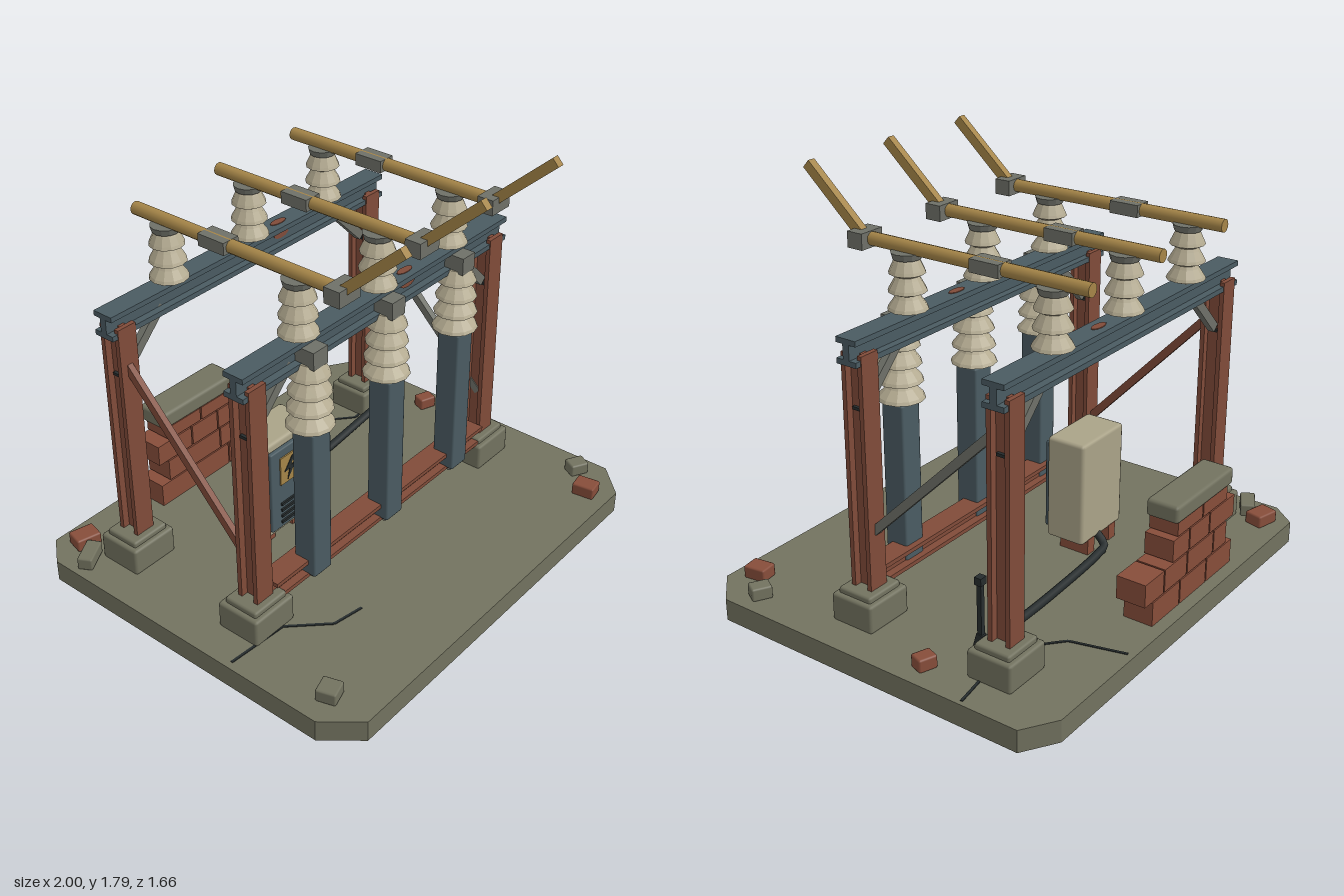
import * as THREE from 'three';
import { RoundedBoxGeometry } from 'three/addons/geometries/RoundedBoxGeometry.js';

const mat = (name, color) => {
  const m = new THREE.MeshStandardMaterial({ color });
  m.name = name;
  return m;
};

export function createModel() {
  const root = new THREE.Group();
  root.name = 'substationBay';
  const concrete = mat('concrete', 0x72725f), rust = mat('rustedSteel', 0x804b39);
  const teal = mat('paintedSteel', 0x4a5b62), porcelain = mat('porcelain', 0xb5ac92);
  const brass = mat('brass', 0xa58548), dark = mat('darkRubber', 0x262c2d);
  const brick = mat('brick', 0x874d3a), steel = mat('greySteel', 0x6e7068);
  const cream = mat('cabinetPaint', 0xaaa388);

  const add = (name, geo, m, x = 0, y = 0, z = 0, parent = root) => {
    const mesh = new THREE.Mesh(geo, m);
    mesh.name = name;
    mesh.position.set(x, y, z);
    parent.add(mesh);
    return mesh;
  };
  // Box given by its extents: [x0,x1], [y0,y1], [z0,z1], optionally with chamfered edges
  const box = (name, m, [x0, x1], [y0, y1], [z0, z1], bevel = 0, parent = root) => {
    const s = [x1 - x0, y1 - y0, z1 - z0];
    const geo = bevel ? new RoundedBoxGeometry(...s, 1, bevel) : new THREE.BoxGeometry(...s);
    return add(name, geo, m, (x0 + x1) / 2, (y0 + y1) / 2, (z0 + z1) / 2, parent);
  };
  // Square bar between two points
  const bar = (name, m, a, b, w, h) => {
    const p = new THREE.Vector3(...a), q = new THREE.Vector3(...b);
    const c = p.clone().add(q).multiplyScalar(0.5);
    const mesh = add(name, new THREE.BoxGeometry(w, h, p.distanceTo(q)), m, c.x, c.y, c.z);
    mesh.lookAt(q);
    return mesh;
  };
  const flat = (geo) => {
    const g = geo.index ? geo.toNonIndexed() : geo;
    g.computeVertexNormals();
    return g;
  };
  // Horizontal I-beam along x
  const beamX = (name, m, x0, x1, y0, y1, z, w, t) => {
    const g = new THREE.Group();
    g.name = name;
    root.add(g);
    box('topFlange', m, [x0, x1], [y1 - t, y1], [z - w / 2, z + w / 2], 0, g);
    box('bottomFlange', m, [x0, x1], [y0, y0 + t], [z - w / 2, z + w / 2], 0, g);
    box('web', m, [x0, x1], [y0 + t, y1 - t], [z - 0.015, z + 0.015], 0, g);
  };
  // Stack of skirted insulator sheds
  const insulator = (name, x, z, y0, y1, count, R, core) => {
    const pts = [new THREE.Vector2(0, 0)], p = (y1 - y0) / count;
    for (let i = 0; i < count; i++) {
      const r = R * (1 - 0.05 * i);
      pts.push(new THREE.Vector2(core, p * i), new THREE.Vector2(r, p * (i + 0.18)),
        new THREE.Vector2(r * 0.93, p * (i + 0.36)), new THREE.Vector2(core * 1.15, p * (i + 0.82)));
    }
    pts.push(new THREE.Vector2(core, y1 - y0), new THREE.Vector2(0, y1 - y0));
    add(name, flat(new THREE.LatheGeometry(pts, 12)), porcelain, x, y0, z);
  };

  // Ground slab with clipped corners
  const slab = new THREE.Shape([[-0.91, -0.83], [0.86, -0.83], [1, -0.74], [1, 0.7], [0.87, 0.83],
    [-0.88, 0.83], [-1, 0.68], [-1, -0.72]].map(([x, y]) => new THREE.Vector2(x, y)));
  const slabGeo = new THREE.ExtrudeGeometry(slab, { depth: 0.095, bevelEnabled: false });
  add('slab', slabGeo.rotateX(Math.PI / 2), concrete, 0, 0.095, 0);

  // Two portal frames
  const rows = [0.16, -0.5];
  for (const z of rows) {
    for (const s of [-1, 1]) {
      const x = s * 0.74;
      box('footing', concrete, [x - 0.11, x + 0.11], [0.09, 0.212], [z - 0.1, z + 0.1], 0.012);
      box('footingCap', concrete, [x - 0.09, x + 0.09], [0.205, 0.236], [z - 0.08, z + 0.08], 0.01);
      for (const e of [-1, 1]) {
        const c = z + e * 0.04;
        box('postFlange', rust, [x - 0.045, x + 0.045], [0.23, 1.208], [c - 0.01, c + 0.01]);
        box('postBolt', dark, [x + e * 0.02 - 0.008, x + e * 0.02 + 0.008], [0.98, 0.992], [z - 0.02, z + 0.02]);
      }
      box('postWeb', rust, [x - 0.015, x + 0.015], [0.23, 1.205], [z - 0.035, z + 0.035]);
      bar('kneeBrace', steel, [s * 0.71, 1.0, z], [s * 0.52, 1.19, z], 0.03, 0.04);
    }
    beamX('topBeam', teal, -0.81, 0.81, 1.17, 1.275, z, 0.094, 0.022);
    // Rust stains on the beam
    const top = add('rustStain', new THREE.CylinderGeometry(0.045, 0.045, 0.004, 10), rust, 0.17, 1.276, z);
    top.scale.z = 0.4;
    const side = add('rustStain', new THREE.CylinderGeometry(0.045, 0.045, 0.004, 10), rust, 0.17, 1.228, z + 0.016);
    side.rotation.x = Math.PI / 2;
    side.scale.z = 0.45;
  }
  beamX('lowerBeam', rust, -0.695, 0.68, 0.21, 0.292, 0.185, 0.1, 0.018);
  bar('rightDiagonal', steel, [0.735, 0.43, 0.17], [0.735, 1.095, -0.5], 0.03, 0.035);
  bar('leftDiagonal', rust, [-0.74, 0.4, 0.13], [-0.74, 1.07, -0.5], 0.026, 0.035);

  // Three identical phases
  for (const x of [-0.46, 0, 0.46]) {
    box('column', teal, [x - 0.052, x + 0.052], [0.22, 0.9], [0.162, 0.267], 0.008);
    add('columnPin', new THREE.CylinderGeometry(0.011, 0.011, 0.06, 8), steel, x, 0.205, 0.215);
    insulator('hangingInsulator', x, 0.21, 0.9, 1.19, 4, 0.097, 0.05);
    box('insulatorClamp', steel, [x - 0.04, x + 0.04], [1.18, 1.255], [0.175, 0.265]);
    for (const z of rows) {
      insulator('postInsulator', x, z, 1.275, 1.49, 3, 0.08, 0.045);
      add('insulatorCap', flat(new THREE.CylinderGeometry(0.062, 0.055, 0.026, 12)), steel, x, 1.499, z);
    }
    add('busBar', new THREE.CylinderGeometry(0.027, 0.027, 1.02, 12), brass, x, 1.53, -0.15).rotation.x = Math.PI / 2;
    box('busSleeve', steel, [x - 0.04, x + 0.04], [1.505, 1.556], [-0.29, -0.16]);
    box('hinge', steel, [x - 0.058, x + 0.058], [1.495, 1.56], [0.328, 0.4]);
    bar('switchBlade', brass, [x, 1.535, 0.37], [x, 1.772, 0.635], 0.033, 0.042);
  }

  // Control cabinet
  box('cabinet', cream, [-0.4, -0.1], [0.155, 0.615], [-0.27, -0.09], 0.015);
  box('cabinetDoor', teal, [-0.383, -0.117], [0.19, 0.582], [-0.092, -0.07], 0.006);
  for (const x of [-0.33, -0.17])
    box('cabinetFoot', brick, [x - 0.025, x + 0.025], [0.095, 0.165], [-0.27, -0.13]);
  box('doorHandle', steel, [-0.17, -0.152], [0.385, 0.447], [-0.072, -0.053]);
  for (let i = 0; i < 4; i++)
    box('louvre', dark, [-0.33, -0.17], [0.215 + i * 0.03, 0.227 + i * 0.03], [-0.071, -0.062]);
  box('warningPlate', brass, [-0.332, -0.22], [0.41, 0.542], [-0.071, -0.064]);
  const bolt = new THREE.Shape([[0.012, 0.052], [-0.034, -0.008], [-0.004, -0.004], [-0.016, -0.052],
    [0.034, 0.012], [0.004, 0.008], [0.026, 0.052]].map(([x, y]) => new THREE.Vector2(x, y)));
  add('warningBolt', new THREE.ExtrudeGeometry(bolt, { depth: 0.004, bevelEnabled: false }), dark, -0.276, 0.476, -0.065);

  // Cable from cabinet to an upright stub
  const path = new THREE.CatmullRomCurve3([[-0.23, 0.17, -0.25], [-0.225, 0.12, -0.3], [-0.15, 0.113, -0.315],
    [0.2, 0.113, -0.342], [0.5, 0.125, -0.362], [0.71, 0.14, -0.372]].map((p) => new THREE.Vector3(...p)));
  add('cable', new THREE.TubeGeometry(path, 40, 0.018, 8), dark);
  bar('cableStub', dark, [0.72, 0.12, -0.35], [0.72, 0.2, -0.372], 0.028, 0.028);
  bar('cableStub', dark, [0.72, 0.18, -0.37], [0.72, 0.42, -0.368], 0.02, 0.02);
  box('cableEnd', dark, [0.703, 0.737], [0.41, 0.442], [-0.384, -0.353]);

  // Broken brick wall with coping: course y range, then brick ends along x
  const courses = [
    [0.095, 0.2, [-0.46, -0.25, -0.04, 0.17]],
    [0.207, 0.306, [-0.41, -0.3, -0.09, 0.085, 0.23]],
    [0.313, 0.407, [-0.465, -0.26, -0.1, 0.03]],
    [0.414, 0.475, [-0.4, -0.2, 0.0]],
  ];
  for (const [y0, y1, ends] of courses)
    for (let i = 0; i + 1 < ends.length; i++)
      box('wallBrick', brick, [ends[i] + 0.004, ends[i + 1] - 0.004], [y0, y1], [-0.775, -0.645]);
  box('wallCoping', concrete, [-0.425, 0.02], [0.475, 0.55], [-0.785, -0.64], 0.015);

  // Loose rubble: material, x, z, width, depth, turn
  for (const [m, x, z, w, d, turn] of [
    [brick, -0.84, -0.72, 0.11, 0.085, -0.25], [concrete, -0.905, -0.62, 0.13, 0.065, 0.5],
    [brick, 0.893, -0.238, 0.08, 0.065, -0.35], [brick, 0.79, 0.72, 0.08, 0.1, 0.15],
    [concrete, 0.9, 0.605, 0.085, 0.07, -0.5], [concrete, -0.87, 0.64, 0.085, 0.085, 0.3],
  ]) add('rubble', new RoundedBoxGeometry(w, 0.056, d, 1, 0.008), m, x, 0.122, z).rotation.y = turn;

  // Cracks in the slab
  for (const line of [
    [[-0.97, 0.24], [-0.7, 0.26], [-0.56, 0.405], [-0.42, 0.43]],
    [[0.38, -0.8], [0.44, -0.57], [0.6, -0.43], [0.8, -0.45], [0.98, -0.48]],
  ]) for (let i = 0; i + 1 < line.length; i++) {
    const [a, b] = [line[i], line[i + 1]];
    bar('crack', dark, [a[0], 0.095, a[1]], [b[0], 0.095, b[1]], 0.011, 0.006);
  }
  return root;
}
